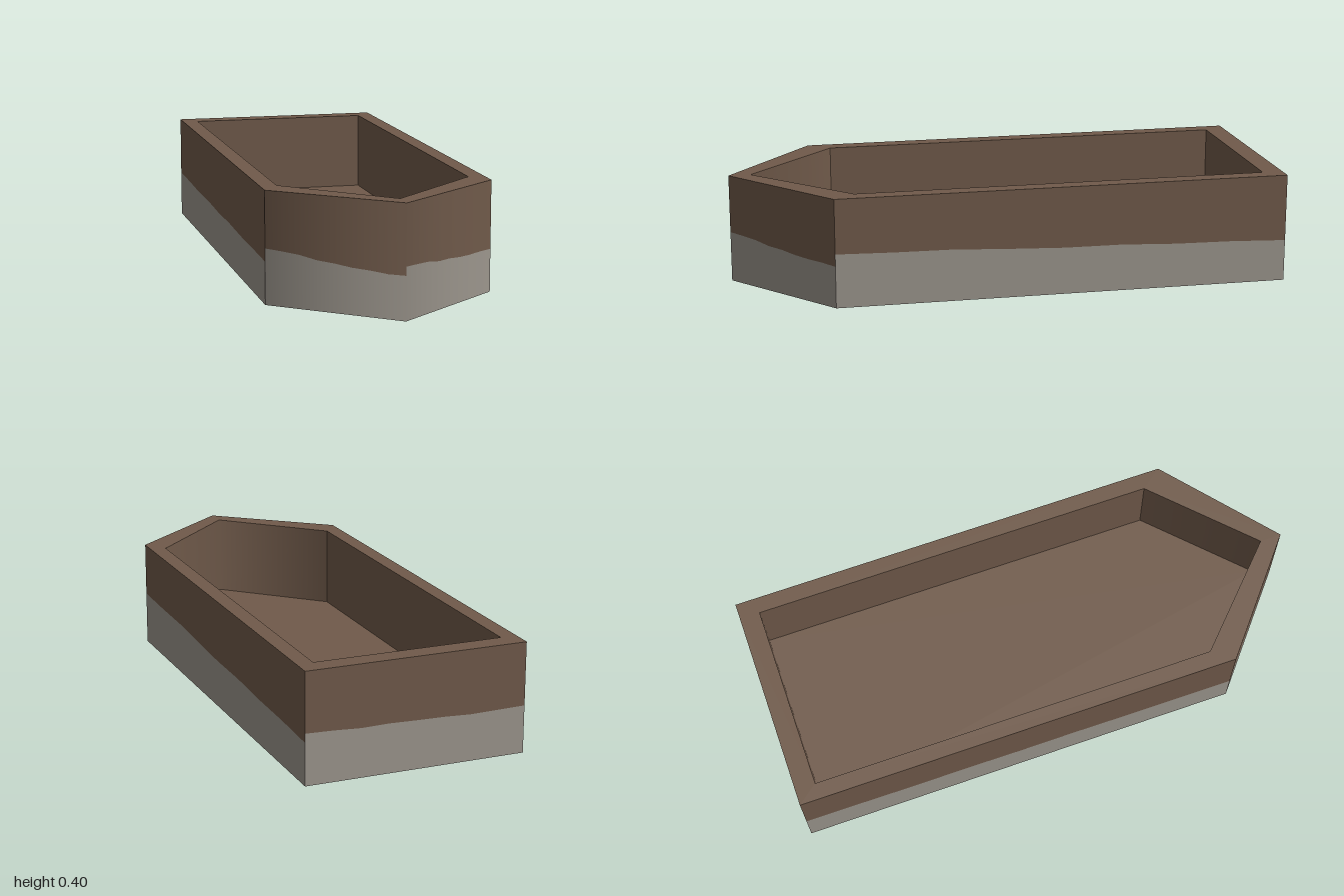
import * as THREE from 'three';

const HEIGHT = 0.4, FLOOR = 0.1;

// Plan outlines as [x, z], running left to right when seen from outside
const OUTER = [[0, 1], [0.404, 0.664], [0.404, -1], [-0.404, -1], [-0.404, 0.664]];
const INNER = [[0, 0.92], [0.345, 0.585], [0.345, -0.925], [-0.345, -0.925], [-0.345, 0.585]];

// Height of the stone edge at even steps along each outer wall
const WALLS = [
  ['frontLeft', [0.186, 0.183, 0.179, 0.169, 0.167, 0.16, 0.157, 0.157, 0.154]],
  ['left', [0.199, 0.194, 0.192, 0.182, 0.174, 0.173, 0.164, 0.161, 0.153]],
  ['back', [0.185, 0.182, 0.176, 0.178, 0.175, 0.173, 0.168, 0.17, 0.172]],
  ['right', [0.174, 0.172, 0.166, 0.167, 0.161, 0.162, 0.156, 0.155, 0.152]],
  ['frontRight', [0.198, 0.194, 0.188, 0.176, 0.171, 0.163, 0.16, 0.154, 0.155]],
];

// Upright strip from a to b between two height lists, with blended normals
function strip(a, b, low, high, na, nb) {
  const pos = [], nor = [], idx = [], n = low.length - 1;
  for (let i = 0; i <= n; i++) {
    const t = i / n;
    const x = a[0] + (b[0] - a[0]) * t, z = a[1] + (b[1] - a[1]) * t;
    const normal = na.clone().lerp(nb, t).normalize();
    for (const y of [low[i], high[i]]) {
      pos.push(x, y, z);
      nor.push(normal.x, normal.y, normal.z);
    }
    if (i < n) {
      const k = i * 2;
      idx.push(k, k + 2, k + 3, k, k + 3, k + 1);
    }
  }
  const g = new THREE.BufferGeometry();
  g.setAttribute('position', new THREE.Float32BufferAttribute(pos, 3));
  g.setAttribute('normal', new THREE.Float32BufferAttribute(nor, 3));
  g.setIndex(idx);
  return g;
}

// Normals at both ends of a wall; the pointed front is shaded smoothly at its tip
function endNormals(a, b, side) {
  const flat = new THREE.Vector3(a[1] - b[1], 0, b[0] - a[0]).normalize();
  const tip = new THREE.Vector3(0, 0, side);
  return [a[0] === 0 ? tip : flat, b[0] === 0 ? tip : flat];
}

const outline = (Type, points) => new Type(points.map(([x, z]) => new THREE.Vector2(x, -z)));

export function createModel() {
  const model = new THREE.Group();
  model.name = 'trough';
  const earth = new THREE.MeshStandardMaterial({ color: 0x705a4a, side: THREE.DoubleSide });
  earth.name = 'earth brown';
  const stone = new THREE.MeshStandardMaterial({ color: 0x9c968d, side: THREE.DoubleSide });
  stone.name = 'stone grey';

  const add = (name, geometry, material) => {
    const mesh = new THREE.Mesh(geometry, material);
    mesh.name = name;
    model.add(mesh);
    return mesh;
  };

  WALLS.forEach(([name, edge], i) => {
    const j = (i + 1) % WALLS.length;
    const level = (y) => edge.map(() => y);

    // Outer wall: stone below the ragged edge, earth above it
    const a = OUTER[i], b = OUTER[j];
    const [na, nb] = endNormals(a, b, 1);
    add(name + 'WallBase', strip(a, b, level(0), edge, na, nb), stone);
    add(name + 'WallTop', strip(a, b, edge, level(HEIGHT), na, nb), earth);

    // Inner wall, facing the hollow
    const c = INNER[j], d = INNER[i];
    const [nc, nd] = endNormals(c, d, -1);
    add(name + 'InnerWall', strip(c, d, [FLOOR, FLOOR], [HEIGHT, HEIGHT], nc, nd), earth);
  });

  // Rim around the opening
  const rimShape = outline(THREE.Shape, OUTER);
  rimShape.holes.push(outline(THREE.Path, INNER));
  add('rim', new THREE.ShapeGeometry(rimShape).rotateX(-Math.PI / 2), earth).position.y = HEIGHT;

  // Floor of the hollow
  const floorShape = outline(THREE.Shape, INNER);
  add('floor', new THREE.ShapeGeometry(floorShape).rotateX(-Math.PI / 2), earth).position.y = FLOOR;

  return model;
}
